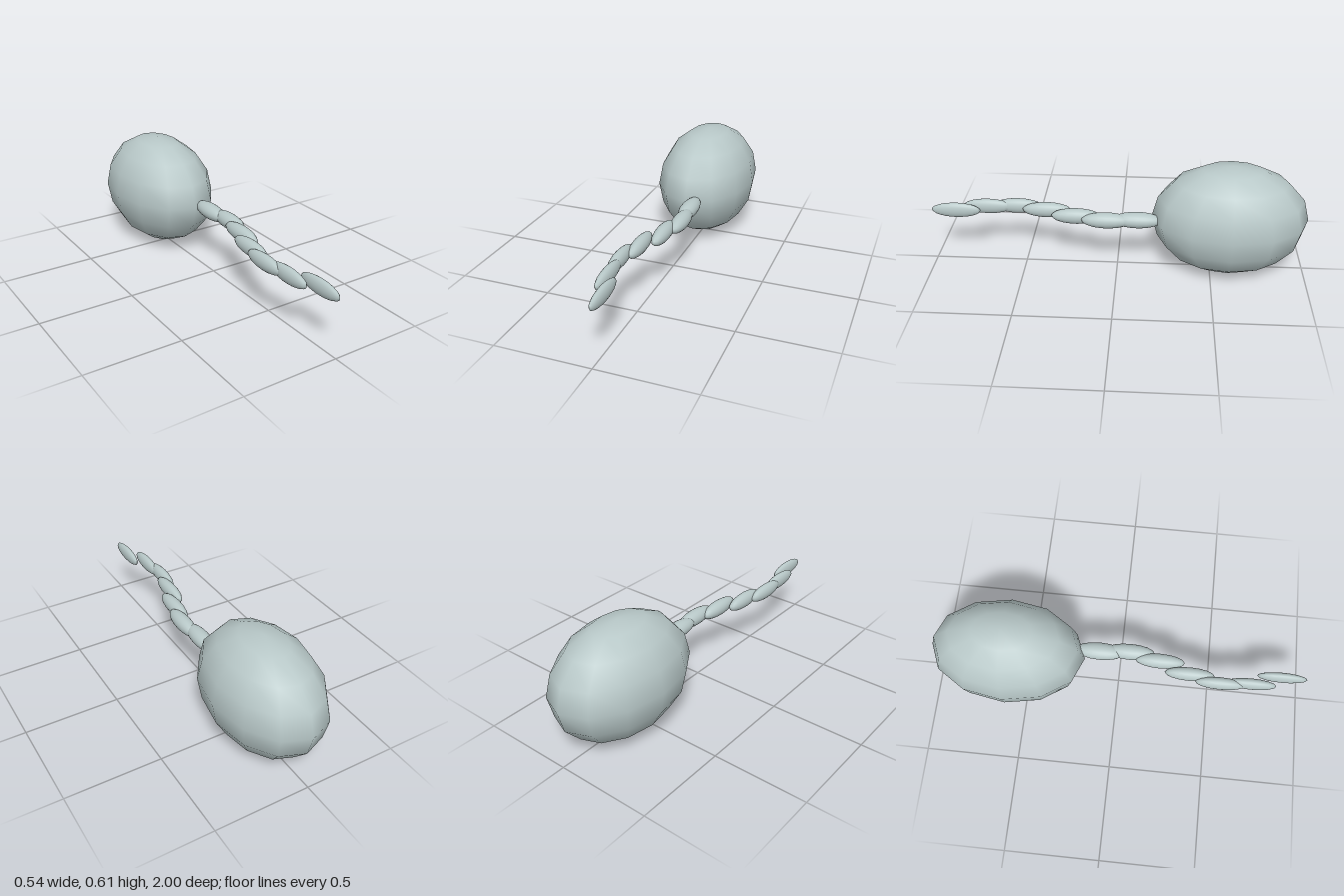
import * as THREE from 'three';

export function createModel() {
  const model = new THREE.Group();
  const paleGrey = new THREE.MeshStandardMaterial({ color: 0xb8c8c8 });
  paleGrey.name = 'paleGrey';
  const centreY = 0.305;

  function ellipsoid(name, geometry, position, radii) {
    const mesh = new THREE.Mesh(geometry, paleGrey);
    mesh.name = name;
    mesh.position.set(...position);
    mesh.scale.set(...radii);
    model.add(mesh);
  }

  // Large coarse egg-shaped head at the back
  ellipsoid('head', new THREE.SphereGeometry(1, 12, 8),
    [0, centreY, -0.59], [0.27, 0.305, 0.41]);

  // Tail: overlapping beads in a sideways wave, thinning towards the tip
  const bead = new THREE.SphereGeometry(1, 16, 12);
  for (let i = 1; i <= 7; i++) {
    ellipsoid(`tailSegment${i}`, bead,
      [0.0655 * Math.sin(0.9 * i), centreY, -0.268 + 0.162 * i],
      [0.0505 - 0.0038 * i, 0.042, 0.132]);
  }

  return model;
}
